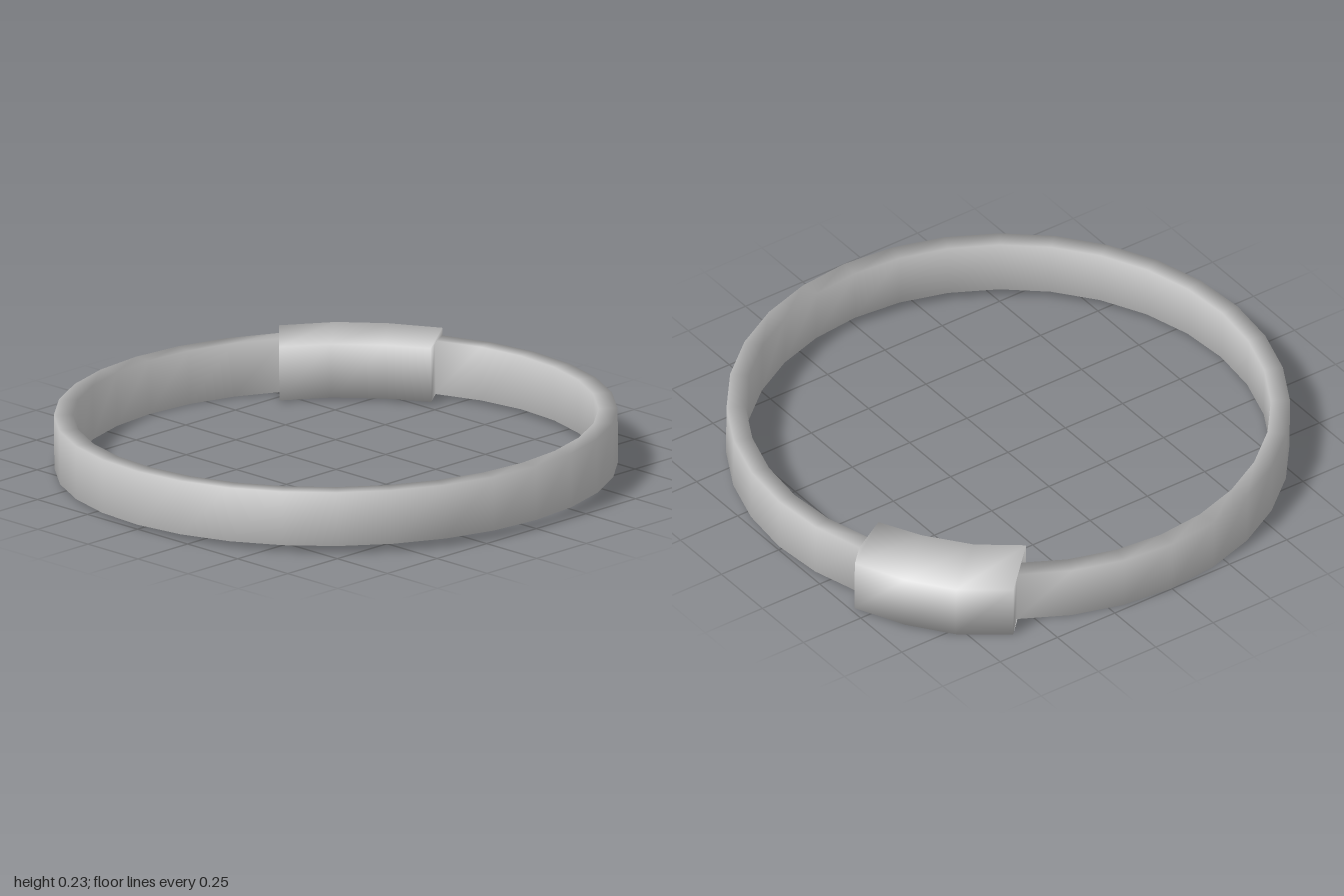
import * as THREE from 'three';

const SEGMENTS = 32;
const HALF_HEIGHT = 0.099;
const OUTER = 1.0, INNER = 0.932;
const TILT = 0.0165;
const STEP = 360 / SEGMENTS;

// Rectangular cross-section: outer edge and inner edge each at an angle and radius
function section(outerAngle, outerRadius, innerAngle, innerRadius) {
  const point = (deg, r, y) => {
    const a = THREE.MathUtils.degToRad(deg);
    return [r * Math.cos(a), y, -r * Math.sin(a)];
  };
  return [
    point(outerAngle, outerRadius, -HALF_HEIGHT),
    point(outerAngle, outerRadius, HALF_HEIGHT),
    point(innerAngle, innerRadius, HALF_HEIGHT),
    point(innerAngle, innerRadius, -HALF_HEIGHT),
  ];
}

// Closed band with smooth normals, skinned through all the sections
function skin(sections) {
  const index = [];
  const n = sections.length;
  for (let i = 0; i < n; i++) {
    const a = i * 4, b = ((i + 1) % n) * 4;
    for (let j = 0; j < 4; j++) {
      const k = (j + 1) % 4;
      index.push(a + j, b + j, b + k, a + j, b + k, a + k);
    }
  }
  const geometry = new THREE.BufferGeometry();
  geometry.setAttribute('position', new THREE.Float32BufferAttribute(sections.flat(2), 3));
  geometry.setIndex(index);
  geometry.computeVertexNormals();
  return geometry;
}

export function createModel() {
  const group = new THREE.Group();
  group.name = 'bangle';

  // Thick block covering three segments of the band, stepping in and out at its ends
  const block = [
    section(24.4, 1.088, 21.0, 0.836),
    section(35.0, 1.1, 32.7, 0.832),
    section(44.8, 1.107, 46.0, 0.834),
    section(55.4, 1.092, 58.8, 0.83),
  ];
  const firstStep = 2, lastStep = 5;

  const sections = [];
  for (let i = 0; i < SEGMENTS; i++) {
    const angle = i * STEP;
    const plain = section(angle, OUTER, angle, INNER);
    if (i < firstStep || i > lastStep) sections.push(plain);
    else if (i === firstStep) sections.push(plain, block[0]);
    else if (i === lastStep) sections.push(block[3], plain);
    else sections.push(block[i - firstStep]);
  }

  const material = new THREE.MeshStandardMaterial({ color: 0xcccccc, side: THREE.DoubleSide });
  const band = new THREE.Mesh(skin(sections), material);
  band.name = 'bandWithBlock';

  // The band leans slightly, its front edge higher than the back
  band.rotation.x = -TILT;
  band.position.y = HALF_HEIGHT + TILT + 0.001;
  group.add(band);
  return group;
}
